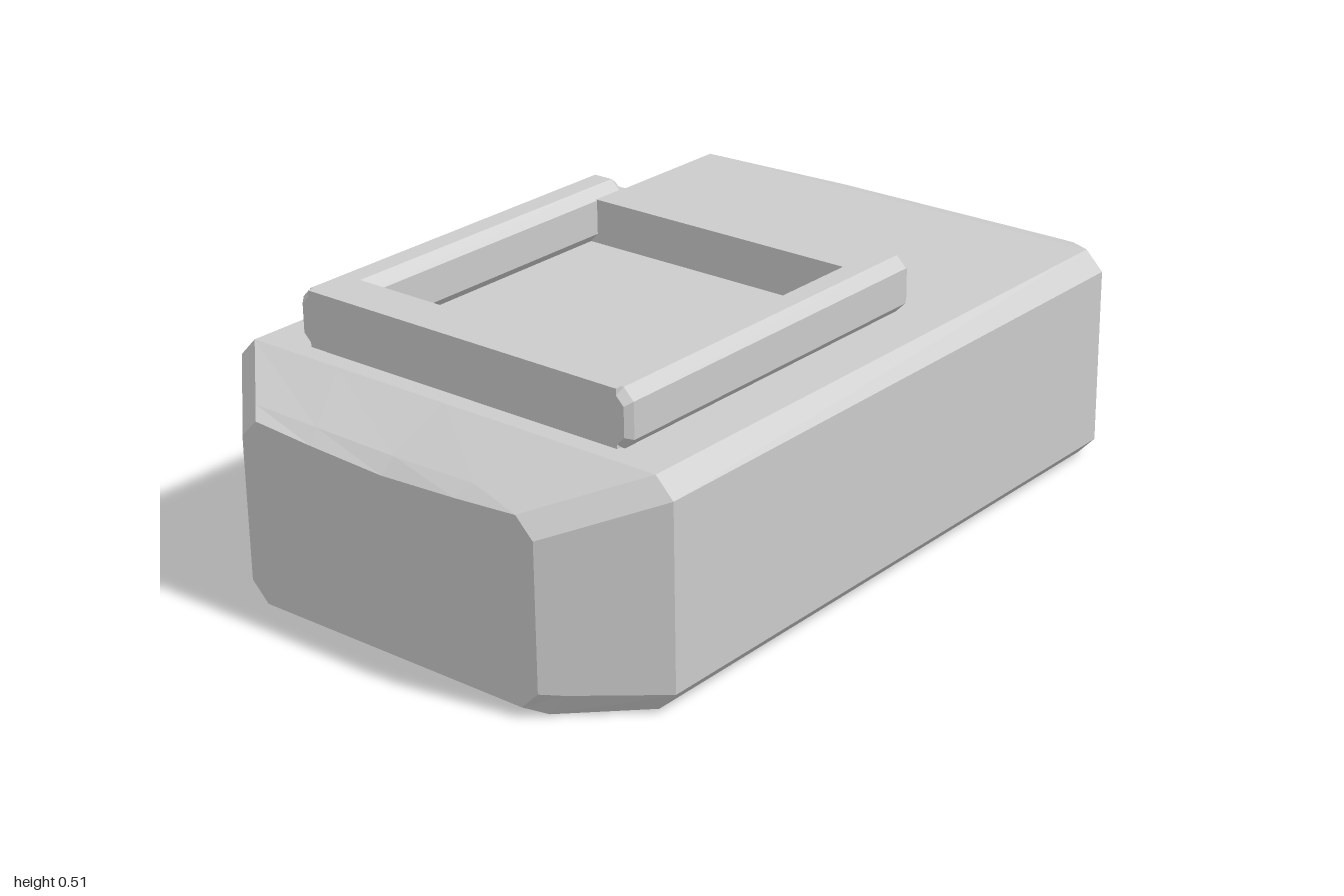
import * as THREE from 'three';

const material = new THREE.MeshStandardMaterial({ color: 0xcccccc, flatShading: true });

// Bevelled cross-section, counter-clockwise seen from +z.
// w: half width, y0/y1: bottom/top, bx: bevel inset, s0/s1: side wall bottom/top, dip: sag of the top edge
function section({ z, w, y0, y1, bx, s0, s1, x = 0, dip = 0 }) {
  const t = w - bx;
  return [
    [-t, y0], [t, y0], [w, s0], [w, s1],
    [t, y1], [t * 0.55, y1 - dip * 0.55], [0, y1 - dip], [-t * 0.55, y1 - dip * 0.55], [-t, y1],
    [-w, s1], [-w, s0],
  ].map(([px, py]) => [px + x, py, z]);
}

// Skins sections listed from front (+z) to back, with closed ends
function loft(name, list) {
  const rings = list.map(section);
  const n = rings[0].length;
  const index = [];
  for (let i = 0; i < rings.length - 1; i++) {
    for (let j = 0; j < n; j++) {
      const k = (j + 1) % n;
      const a = i * n + j, b = i * n + k, c = b + n, d = a + n;
      index.push(a, d, c, a, c, b);
    }
  }
  const last = (rings.length - 1) * n;
  for (let j = 1; j < n - 1; j++) {
    index.push(0, j, j + 1);
    index.push(last, last + j + 1, last + j);
  }
  const indexed = new THREE.BufferGeometry();
  indexed.setAttribute('position', new THREE.Float32BufferAttribute(rings.flat(2), 3));
  indexed.setIndex(index);
  const geometry = indexed.toNonIndexed();
  geometry.computeVertexNormals();
  const mesh = new THREE.Mesh(geometry, material);
  mesh.name = name;
  return mesh;
}

function bar(name, width, y0, y1, z0, z1) {
  const mesh = new THREE.Mesh(new THREE.BoxGeometry(width, y1 - y0, z1 - z0), material);
  mesh.position.set(0, (y0 + y1) / 2, (z0 + z1) / 2);
  mesh.name = name;
  return mesh;
}

export function createModel() {
  const model = new THREE.Group();
  model.name = 'boat';

  // Hull: chamfered blunt front, straight middle, pointed sloping back
  model.add(loft('hull', [
    { z: 1.0, w: 0.323, y0: 0.015, y1: 0.352, bx: 0.035, s0: 0.05, s1: 0.317, dip: 0.016 },
    { z: 0.97, w: 0.354, y0: 0.0, y1: 0.364, bx: 0.035, s0: 0.045, s1: 0.328, dip: 0.005 },
    { z: 0.85, w: 0.48, y0: 0, y1: 0.41, bx: 0.035, s0: 0.037, s1: 0.374 },
    { z: -0.39, w: 0.48, y0: 0, y1: 0.41, bx: 0.035, s0: 0.037, s1: 0.374 },
    { z: -0.62, w: 0.325, y0: 0, y1: 0.317, bx: 0.05, s0: 0.037, s1: 0.285 },
    { z: -0.85, w: 0.15, y0: 0, y1: 0.217, bx: 0.045, s0: 0.036, s1: 0.192 },
    { z: -0.975, w: 0.026, y0: 0.003, y1: 0.16, bx: 0.01, s0: 0.018, s1: 0.145 },
    { z: -1.0, w: 0.024, y0: 0.01, y1: 0.145, bx: 0.01, s0: 0.02, s1: 0.135 },
  ]));

  // Raised deck frame: two bevelled rails joined by a front and a back bar
  const frame = new THREE.Group();
  frame.name = 'deckFrame';
  for (const side of [-1, 1]) {
    const rail = { x: side * 0.325, w: 0.04, y0: 0.41, y1: 0.515, bx: 0.02, s0: 0.43, s1: 0.495 };
    const end = { ...rail, w: 0.03, bx: 0.015, y0: 0.42, y1: 0.503, s0: 0.435, s1: 0.488 };
    frame.add(loft(side > 0 ? 'leftRail' : 'rightRail', [
      { ...end, z: 0.818 },
      { ...rail, z: 0.805 },
      { ...rail, z: 0.075 },
      { ...end, z: 0.058 },
    ]));
  }
  frame.add(bar('frontBar', 0.68, 0.412, 0.515, 0.73, 0.818));
  frame.add(bar('backBar', 0.6, 0.412, 0.497, 0.06, 0.14));
  model.add(frame);

  return model;
}
